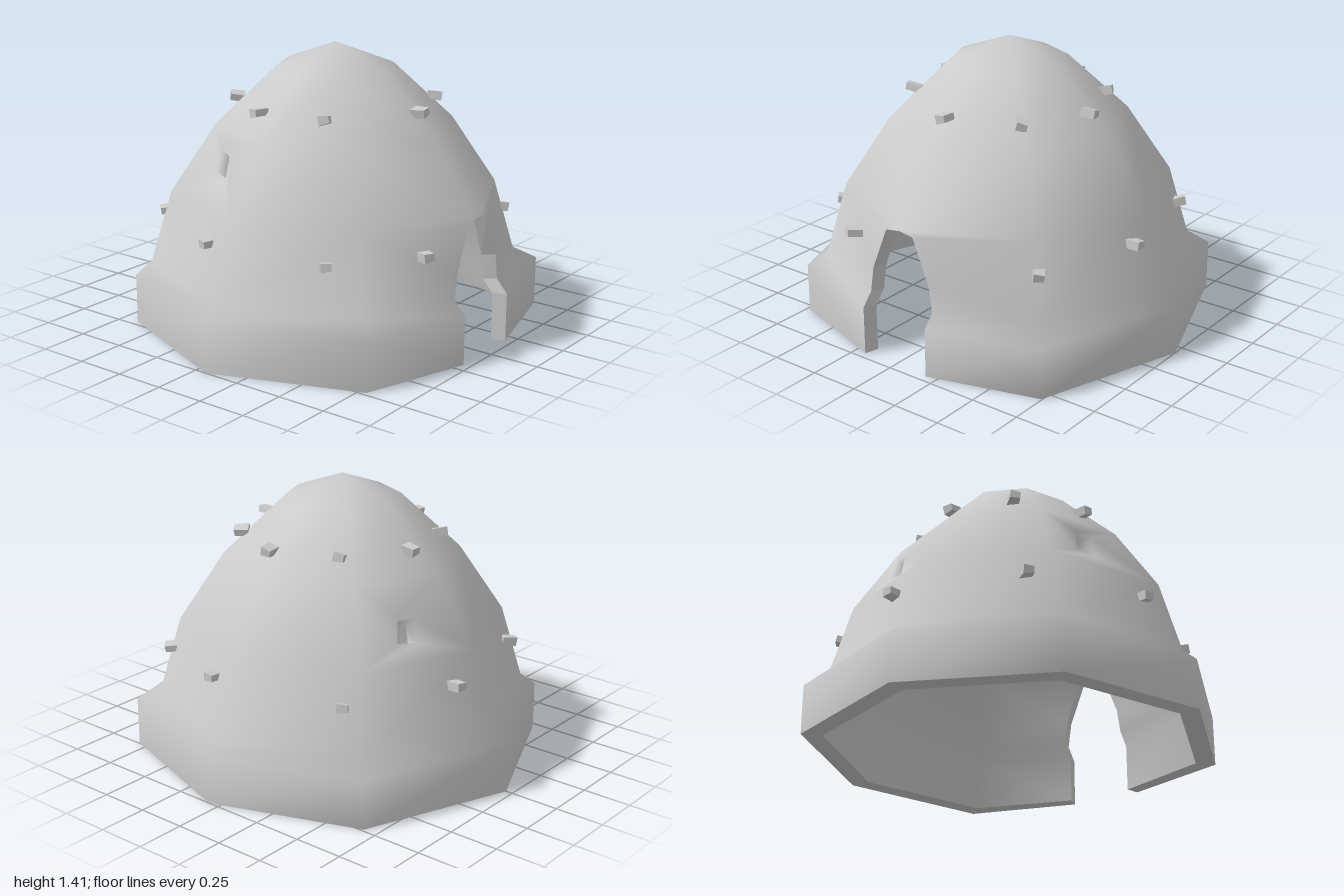
import * as THREE from 'three';

const V = (x, y, z) => new THREE.Vector3(x, y, z);
const CZ = 0.06; // the dome sits slightly forward of the centre
const SIDES = 8;
const BASE_SCALE = [1, 1.055, 1, 1.043, 1.025, 1.008, 1, 1.03]; // uneven footprint
// Windows by panel: height along the panel and how far they are pushed in
const WINDOWS = { 3: { v: 0.38, dent: 0 }, 5: { v: 0.55, dent: 0.03 } };

// Mesh from triangles of shared points; smooth unless flat
function makeMesh(name, points, flat = false) {
  const ids = new Map(), pos = [], index = [];
  for (const p of points) {
    if (!ids.has(p)) {
      ids.set(p, ids.size);
      pos.push(p.x, p.y, p.z);
    }
    index.push(ids.get(p));
  }
  let geo = new THREE.BufferGeometry();
  geo.setAttribute('position', new THREE.Float32BufferAttribute(pos, 3));
  geo.setIndex(index);
  if (flat) geo = geo.toNonIndexed();
  geo.computeVertexNormals();
  const material = new THREE.MeshStandardMaterial({ color: 0xcccccc, side: THREE.DoubleSide });
  const mesh = new THREE.Mesh(geo, material);
  mesh.name = name;
  return mesh;
}

const quad = (out, a, b, c, d) => out.push(a, b, c, a, c, d);

// One skin of the dome: eight-sided rings, a door cut at the front, two window holes
function makeSkin(profile, jamb) {
  const tris = [], holes = [];
  const apex = V(0, profile[profile.length - 1][1], CZ);
  const rings = profile.slice(0, -1).map(([r, y], i) =>
    BASE_SCALE.map((s, k) => {
      const a = (k / SIDES) * Math.PI * 2;
      const rad = r * (i < 2 ? s : 1);
      return V(Math.sin(a) * rad, y, CZ + Math.cos(a) * rad);
    }));
  const right = jamb.map(([x, y, z]) => V(x, y, z));
  const left = jamb.map(([x, y, z]) => V(-x, y, z));
  const top = rings[3][0];
  top.set(0, jamb[4][1] + 0.012, jamb[4][2]);

  for (let k = 0; k < SIDES; k++) {
    const n = (k + 1) % SIDES;
    if (k === 0 || k === SIDES - 1) {
      // panels beside the door
      const J = k === 0 ? right : left, c = k === 0 ? 1 : SIDES - 1;
      const [c0, c1, c2, c3] = rings.map(r => r[c]);
      const part = [];
      quad(part, J[0], c0, c1, J[1]);
      quad(part, J[1], c1, c2, J[2]);
      part.push(J[2], c2, J[3], J[3], c2, c3, J[3], c3, J[4], J[4], c3, top);
      tris.push(...(k === 0 ? part : part.reverse()));
    } else {
      for (let i = 0; i < 3; i++) quad(tris, rings[i][k], rings[i][n], rings[i + 1][n], rings[i + 1][k]);
    }
    for (let i = 3; i < rings.length - 1; i++) {
      const q = [rings[i][k], rings[i][n], rings[i + 1][n], rings[i + 1][k]];
      if (i === 3 && WINDOWS[k]) {
        // frame around a small, nearly upright window
        const { v: vMid, dent } = WINDOWS[k];
        const mid = (k + 0.5) / SIDES * Math.PI * 2;
        const hole = [[0.37, -0.14], [0.55, -0.18], [0.55, 0.14], [0.39, 0.19]].map(([u, dv]) => {
          const v = vMid + dv;
          const p = q[0].clone().lerp(q[1], u).lerp(q[3].clone().lerp(q[2], u), v);
          const push = dent - dv * 0.13;
          return p.add(V(-Math.sin(mid) * push, 0, -Math.cos(mid) * push));
        });
        for (let j = 0; j < 4; j++) {
          const m = (j + 1) % 4;
          quad(tris, q[j], q[m], hole[m], hole[j]);
        }
        holes.push(hole);
      } else if (k === SIDES - 1) {
        quad(tris, q[1], q[2], q[3], q[0]);
      } else quad(tris, ...q);
    }
    const last = rings[rings.length - 1];
    tris.push(last[k], last[n], apex);
  }
  return {
    tris, holes,
    doorEdge: [...left, top, ...right.slice().reverse()],
    footEdge: [right[0], ...rings[0].slice(1), left[0]],
  };
}

// Strip joining an outer edge to the matching inner edge
function bridge(outer, inner) {
  const out = [];
  for (let i = 0; i < outer.length - 1; i++) quad(out, outer[i], inner[i], inner[i + 1], outer[i + 1]);
  return out;
}

export function createModel() {
  const model = new THREE.Group();
  model.name = 'domeHut';

  const jamb = [[0.19, 0, 0.963], [0.19, 0.245, 0.963], [0.19, 0.31, 0.905], [0.17, 0.44, 0.905], [0.08, 0.66, 0.905]];
  const outer = makeSkin(
    [[1, 0], [1, 0.25], [0.93, 0.31], [0.82, 0.68], [0.593, 1.02], [0.29, 1.305], [0, 1.415]], jamb);
  // the inside runs straight up behind the plinth
  const inner = makeSkin(
    [[0.9, 0], [0.84, 0.24], [0.83, 0.3], [0.735, 0.64], [0.525, 0.96], [0.245, 1.22], [0, 1.32]],
    jamb.map(([x, y, z]) => [x * 0.9, y * 0.975, z - 0.07]));

  // Window tunnels share the outer points so the wall blends into them
  outer.holes.forEach((h, i) => {
    const g = inner.holes[i];
    outer.tris.push(...bridge([...h, h[0]], [...g, g[0]]).reverse());
  });

  model.add(
    makeMesh('outerWall', outer.tris),
    makeMesh('innerWall', inner.tris.reverse()),
    makeMesh('doorFrame', bridge(outer.doorEdge, inner.doorEdge), true),
    makeMesh('footRim', bridge(outer.footEdge, inner.footEdge), true));

  // Small rough stones set in the wall: x, y, z
  const stones = [
    [0.15, 0.55, -0.765], [-0.5, 0.55, -0.62], [0.66, 0.53, -0.485], [-0.81, 0.56, -0.075],
    [0.825, 0.57, 0.175], [-0.695, 0.535, 0.53], [0.62, 0.535, 0.66], [-0.345, 0.555, 0.845],
    [-0.26, 1.13, -0.35], [0.065, 1.13, -0.415], [0.37, 1.13, -0.23], [-0.47, 1.13, -0.04],
    [0.5, 1.13, 0.095], [-0.41, 1.13, 0.305], [0.345, 1.13, 0.42], [0, 1.13, 0.565],
  ];
  const stoneGroup = new THREE.Group();
  stoneGroup.name = 'wallStones';
  const stoneGeo = new THREE.BoxGeometry(0.06, 0.045, 0.073);
  const sp = stoneGeo.attributes.position;
  for (let i = 0; i < sp.count; i++) {
    // taper and skew each stone
    const x = sp.getX(i), y = sp.getY(i), z = sp.getZ(i);
    sp.setXYZ(i, x * (z > 0 ? 0.85 : 1), y * (x > 0 ? 0.75 : 1) + z * 0.06, z);
  }
  const stoneMat = new THREE.MeshStandardMaterial({ color: 0xcccccc, flatShading: true });
  stones.forEach(([x, y, z], i) => {
    const stone = new THREE.Mesh(stoneGeo, stoneMat);
    stone.name = 'stone';
    stone.position.set(x, y, z);
    stone.rotation.set(0.2 * Math.sin(i * 2.3), Math.atan2(x, z - CZ) + 0.2 * Math.sin(i * 1.7), 0.4 * Math.sin(i * 3.1), 'YXZ');
    stoneGroup.add(stone);
  });
  model.add(stoneGroup);
  return model;
}
